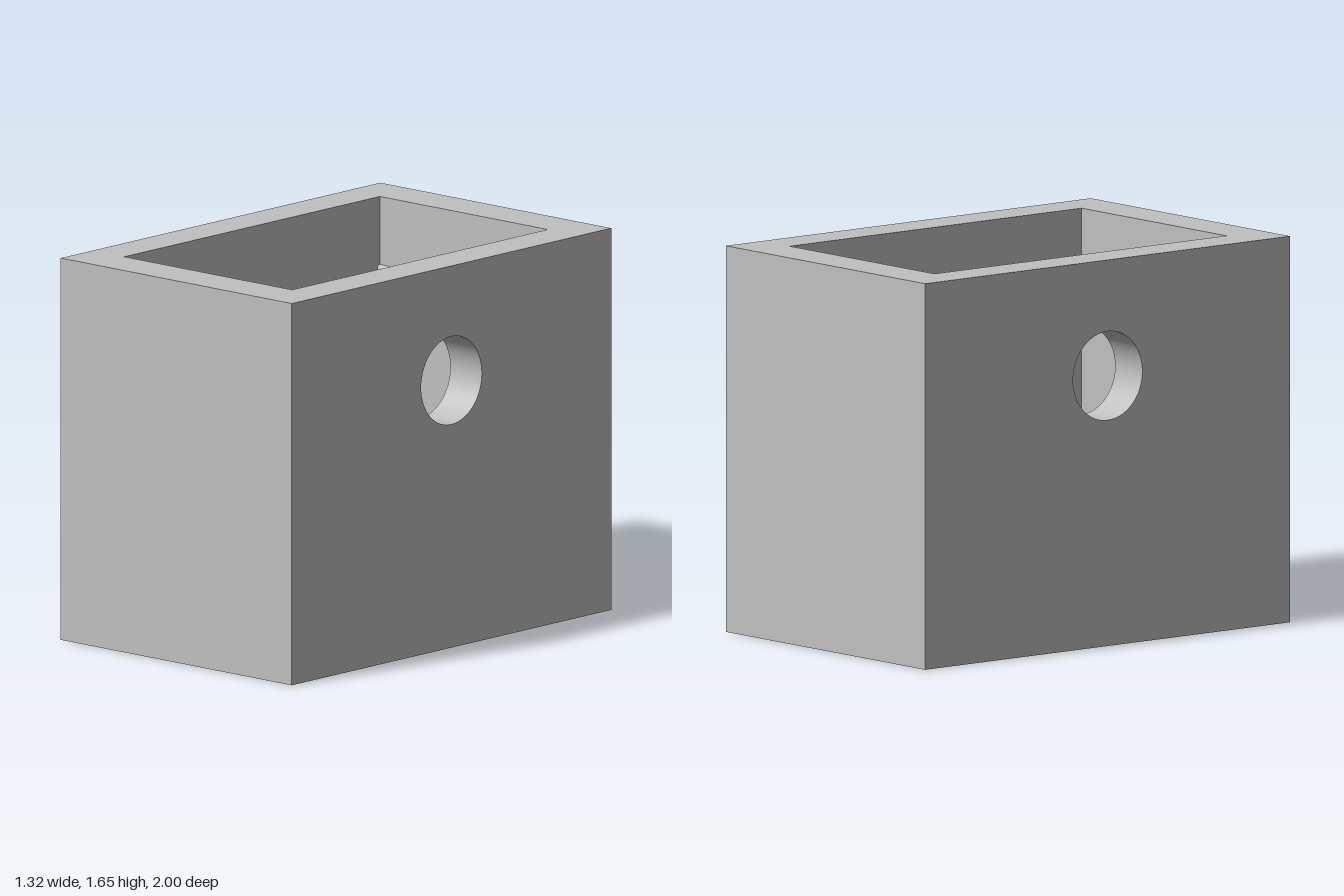
import * as THREE from 'three';

const W = 0.66, H = 1.65, D = 1;        // half width, height, half depth
const IW = 0.48, ID = 0.8;              // half size of the inner opening
const HOLE_Y = 1.155, HOLE_R = 0.19;    // round side holes
const ROD_Y = 1.34, ROD_R = 0.016;      // small ribs on the end walls

// Rectangle outline from its corners
function rect(Type, x0, y0, x1, y1) {
  const r = new Type();
  r.moveTo(x0, y0).lineTo(x1, y0).lineTo(x1, y1).lineTo(x0, y1).closePath();
  return r;
}

export function createModel() {
  const group = new THREE.Group();
  const grey = new THREE.MeshStandardMaterial({ color: 0xc0c0c0, side: THREE.DoubleSide });
  grey.name = 'grey';

  const add = (name, geometry) => {
    const mesh = new THREE.Mesh(geometry, grey);
    mesh.name = name;
    group.add(mesh);
  };

  // Flat wall standing on y = 0, with an optional round hole
  const wall = (half, hole) => {
    const s = rect(THREE.Shape, -half, 0, half, H);
    if (hole) s.holes.push(new THREE.Path().absarc(0, HOLE_Y, HOLE_R, 0, Math.PI * 2, true));
    return new THREE.ShapeGeometry(s, 32);
  };

  // Rectangular rims at the top and bottom
  const rim = () => {
    const s = rect(THREE.Shape, -W, -D, W, D);
    s.holes.push(rect(THREE.Path, -IW, -ID, IW, ID));
    return new THREE.ShapeGeometry(s);
  };
  add('topRim', rim().rotateX(-Math.PI / 2).translate(0, H, 0));
  add('bottomRim', rim().rotateX(Math.PI / 2));

  // Mirrored pairs: +1 is left or front, -1 is right or back
  for (const s of [1, -1]) {
    const side = s > 0 ? 'left' : 'right', end = s > 0 ? 'front' : 'back';
    const turnZ = s > 0 ? 0 : Math.PI, turnX = s * Math.PI / 2;

    add(end + 'OuterWall', wall(W).rotateY(turnZ).translate(0, 0, s * D));
    add(end + 'InnerWall', wall(IW).rotateY(turnZ + Math.PI).translate(0, 0, s * ID));
    add(side + 'OuterWall', wall(D, true).rotateY(turnX).translate(s * W, 0, 0));
    add(side + 'InnerWall', wall(ID, true).rotateY(-turnX).translate(s * IW, 0, 0));

    // Bore through the side wall
    add(side + 'Bore', new THREE.CylinderGeometry(HOLE_R, HOLE_R, W - IW, 64, 1, true)
      .rotateZ(Math.PI / 2).translate(s * (W + IW) / 2, HOLE_Y, 0));

    // Thin rounded rib across the inside of the end wall
    add(end + 'Rib', new THREE.CylinderGeometry(ROD_R, ROD_R, 2 * IW, 16, 1, true, s > 0 ? Math.PI / 2 : -Math.PI / 2, Math.PI)
      .rotateZ(Math.PI / 2).translate(0, ROD_Y, s * ID));
  }
  return group;
}
